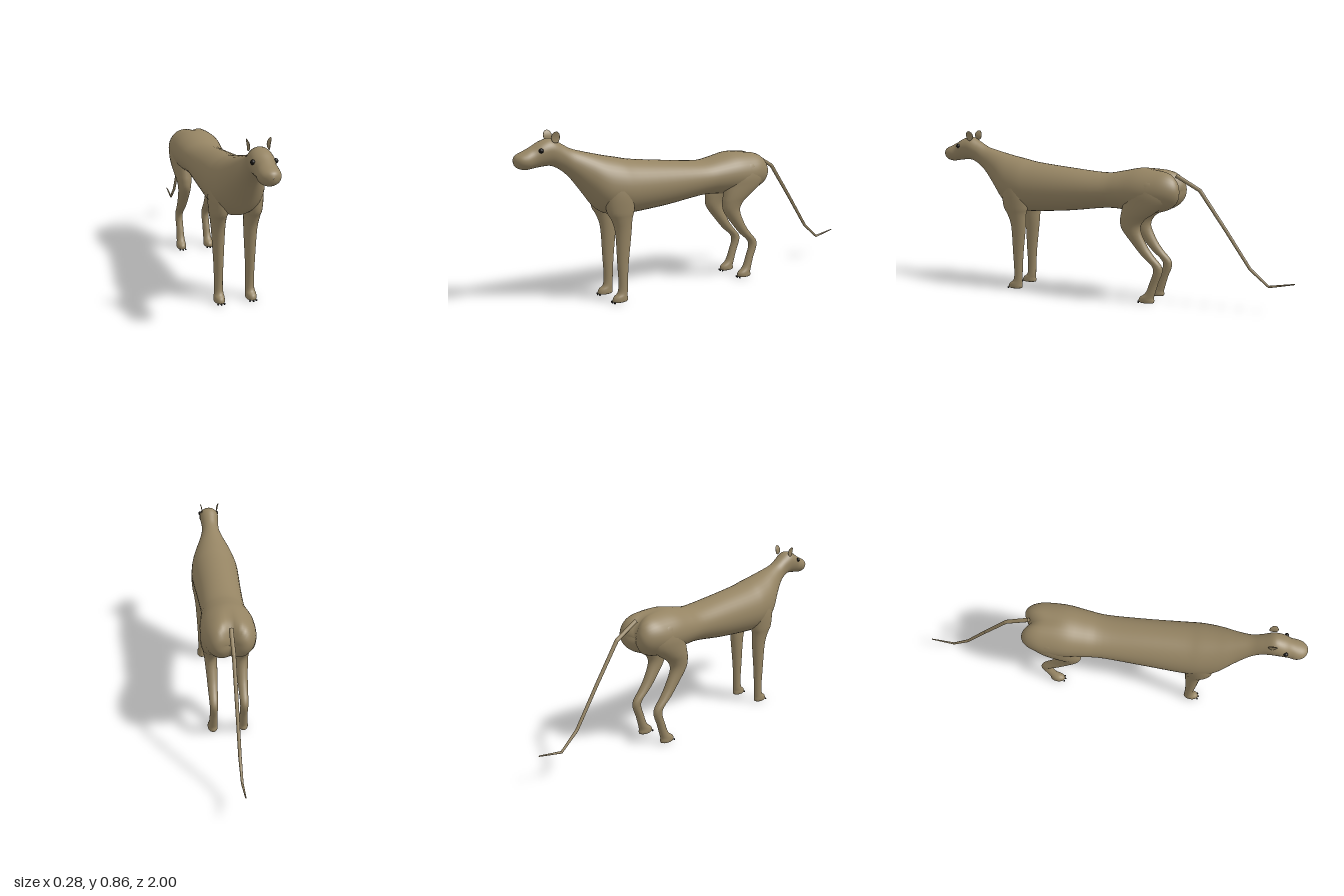
import * as THREE from 'three';

const fur = new THREE.MeshStandardMaterial({ color: 0x958463 });
fur.name = 'tan fur';
const dark = new THREE.MeshStandardMaterial({ color: 0x141210 });
dark.name = 'black';

// Smoothly interpolates every column of a station table.
function smoothStations(table, steps) {
  const out = [];
  const at = (i) => table[Math.max(0, Math.min(table.length - 1, i))];
  for (let i = 0; i < table.length - 1; i++) {
    for (let s = 0; s < steps; s++) {
      const t = s / steps;
      out.push(table[i].map((_, c) => {
        const p0 = at(i - 1)[c], p1 = at(i)[c], p2 = at(i + 1)[c], p3 = at(i + 2)[c];
        return p1 + 0.5 * t * (p2 - p0 + t * (2 * p0 - 5 * p1 + 4 * p2 - p3 + t * (3 * (p1 - p2) + p3 - p0)));
      }));
    }
  }
  out.push(table[table.length - 1]);
  return out;
}

// Skins closed rings; point(station, angle) gives each corner.
function loft(table, sides, steps, point) {
  const rings = smoothStations(table, steps);
  const positions = [], index = [];
  rings.forEach((ring, i) => {
    for (let j = 0; j < sides; j++) {
      positions.push(...point(ring, (j / sides) * Math.PI * 2));
      if (i === rings.length - 1) continue;
      const a = i * sides + j, d = i * sides + (j + 1) % sides;
      index.push(a, a + sides, d, d, a + sides, d + sides);
    }
  });
  const geometry = new THREE.BufferGeometry();
  geometry.setAttribute('position', new THREE.Float32BufferAttribute(positions, 3));
  geometry.setIndex(index);
  geometry.computeVertexNormals();
  return geometry;
}

function add(parent, name, geometry, material, position) {
  const mesh = new THREE.Mesh(geometry, material);
  mesh.name = name;
  if (position) mesh.position.set(...position);
  parent.add(mesh);
  return mesh;
}

// Head, neck and trunk: z, top, bottom, half width, height of widest point
const bodyStations = [
  [1.0, 0.736, 0.734, 0.001, 0.735],
  [0.993, 0.755, 0.712, 0.022, 0.735],
  [0.975, 0.767, 0.698, 0.042, 0.735],
  [0.945, 0.78, 0.691, 0.051, 0.735],
  [0.91, 0.797, 0.695, 0.049, 0.745],
  [0.87, 0.818, 0.70, 0.054, 0.768],
  [0.82, 0.829, 0.70, 0.054, 0.772],
  [0.77, 0.803, 0.675, 0.049, 0.745],
  [0.72, 0.775, 0.63, 0.055, 0.70],
  [0.66, 0.757, 0.555, 0.078, 0.65],
  [0.6, 0.742, 0.478, 0.107, 0.60],
  [0.55, 0.73, 0.444, 0.123, 0.575],
  [0.48, 0.716, 0.432, 0.132, 0.565],
  [0.4, 0.7, 0.432, 0.131, 0.56],
  [0.2, 0.678, 0.448, 0.121, 0.56],
  [0.0, 0.661, 0.474, 0.115, 0.565],
  [-0.1, 0.674, 0.474, 0.124, 0.57],
  [-0.2, 0.694, 0.465, 0.136, 0.575],
  [-0.28, 0.694, 0.465, 0.136, 0.575],
  [-0.33, 0.686, 0.478, 0.13, 0.58],
  [-0.365, 0.663, 0.5, 0.115, 0.58],
  [-0.385, 0.63, 0.53, 0.09, 0.58],
  [-0.392, 0.605, 0.555, 0.05, 0.58],
  [-0.39, 0.581, 0.579, 0.001, 0.58],
];

function bodyPoint([z, top, bottom, w, mid], a) {
  const x = w * Math.cos(a), s = Math.sin(a);
  let y = mid + s * (s > 0 ? top - mid : mid - bottom);
  // The rump splits into two rounded haunches.
  const rump = 1 - THREE.MathUtils.smoothstep(z, -0.39, -0.18);
  if (s > 0) y -= 0.018 * rump * s * Math.exp(-((x / 0.03) ** 2));
  const bulge = Math.sin(Math.PI * Math.min(Math.abs(x) / 0.14, 1));
  return [x, y, z - 0.034 * rump * bulge];
}

// Legs: y, centre x, centre z, radius x, radius z
const frontLegStations = [
  [0.64, 0.08, 0.5, 0.001, 0.001],
  [0.61, 0.08, 0.5, 0.04, 0.055],
  [0.54, 0.08, 0.5, 0.052, 0.078],
  [0.46, 0.083, 0.5, 0.045, 0.072],
  [0.42, 0.083, 0.494, 0.038, 0.055],
  [0.35, 0.08, 0.486, 0.032, 0.042],
  [0.2, 0.079, 0.491, 0.024, 0.03],
  [0.1, 0.079, 0.492, 0.021, 0.024],
  [0.05, 0.079, 0.496, 0.022, 0.026],
  [0.03, 0.08, 0.508, 0.025, 0.037],
  [0.014, 0.08, 0.511, 0.026, 0.041],
  [0.004, 0.08, 0.511, 0.022, 0.036],
  [0.003, 0.08, 0.511, 0.001, 0.001],
];
const hindLegStations = [
  [0.66, 0.075, -0.27, 0.001, 0.001],
  [0.63, 0.077, -0.27, 0.045, 0.08],
  [0.57, 0.079, -0.265, 0.059, 0.118],
  [0.52, 0.08, -0.25, 0.057, 0.115],
  [0.47, 0.081, -0.212, 0.049, 0.088],
  [0.43, 0.081, -0.182, 0.04, 0.064],
  [0.38, 0.08, -0.177, 0.033, 0.05],
  [0.3, 0.078, -0.227, 0.028, 0.036],
  [0.25, 0.078, -0.267, 0.025, 0.032],
  [0.187, 0.078, -0.323, 0.021, 0.025],
  [0.107, 0.078, -0.302, 0.02, 0.023],
  [0.055, 0.079, -0.284, 0.022, 0.026],
  [0.03, 0.08, -0.266, 0.025, 0.038],
  [0.014, 0.08, -0.264, 0.026, 0.042],
  [0.004, 0.08, -0.264, 0.022, 0.036],
  [0.003, 0.08, -0.264, 0.001, 0.001],
];

function addLeg(parent, name, stations, side, toeZ) {
  const leg = new THREE.Group();
  leg.name = name;
  const geometry = loft(stations, 24, 4, ([y, cx, cz, rx, rz], a) =>
    [side * cx + rx * Math.cos(a), y, cz - rz * Math.sin(a)]);
  add(leg, 'limb', geometry, fur);
  // Claws
  for (const i of [-1, 0, 1]) {
    add(leg, 'claw', new THREE.SphereGeometry(0.005, 8, 6), dark,
      [side * 0.08 + i * 0.016, 0.005, toeZ - Math.abs(i) * 0.005]);
  }
  parent.add(leg);
}

// Leaf-shaped ear whose tip curls outward
function earGeometry(side) {
  const geometry = new THREE.SphereGeometry(1, 16, 12).scale(0.003, 0.027, 0.022);
  const p = geometry.attributes.position;
  for (let i = 0; i < p.count; i++) {
    const v = p.getY(i) / 0.027;
    p.setX(i, p.getX(i) + side * (0.006 * v * v + 0.004 * v));
  }
  geometry.computeVertexNormals();
  return geometry;
}

export function createModel() {
  const model = new THREE.Group();
  model.name = 'animal';
  add(model, 'body', loft(bodyStations, 40, 4, bodyPoint), fur);

  for (const side of [1, -1]) {
    const label = side > 0 ? 'left' : 'right';
    addLeg(model, label + 'FrontLeg', frontLegStations, side, 0.554);
    addLeg(model, label + 'HindLeg', hindLegStations, side, -0.22);
    add(model, label + 'Ear', earGeometry(side), fur, [side * 0.045, 0.836, 0.81]);
    add(model, label + 'Eye', new THREE.SphereGeometry(0.011, 16, 12), dark, [side * 0.05, 0.779, 0.884]);
  }

  // Jointed tail, thinning toward the tip: y, z, radius
  const tail = new THREE.Group();
  tail.name = 'tail';
  const joints = [[0.66, -0.39, 0.011], [0.59, -0.515, 0.01], [0.4, -0.65, 0.009],
    [0.21, -0.78, 0.008], [0.13, -0.875, 0.006], [0.155, -1, 0.003]];
  for (let i = 0; i < joints.length - 1; i++) {
    const [y0, z0, r0] = joints[i], [y1, z1, r1] = joints[i + 1];
    const from = new THREE.Vector3(0, y0, z0), to = new THREE.Vector3(0, y1, z1);
    const direction = to.clone().sub(from);
    const mesh = add(tail, 'tailSegment', new THREE.CylinderGeometry(r1, r0, direction.length(), 12), fur);
    mesh.position.copy(from).add(to).multiplyScalar(0.5);
    mesh.quaternion.setFromUnitVectors(new THREE.Vector3(0, 1, 0), direction.normalize());
    if (i > 0) add(tail, 'tailJoint', new THREE.SphereGeometry(r0, 12, 8), fur, [0, y0, z0]);
  }
  model.add(tail);
  return model;
}
